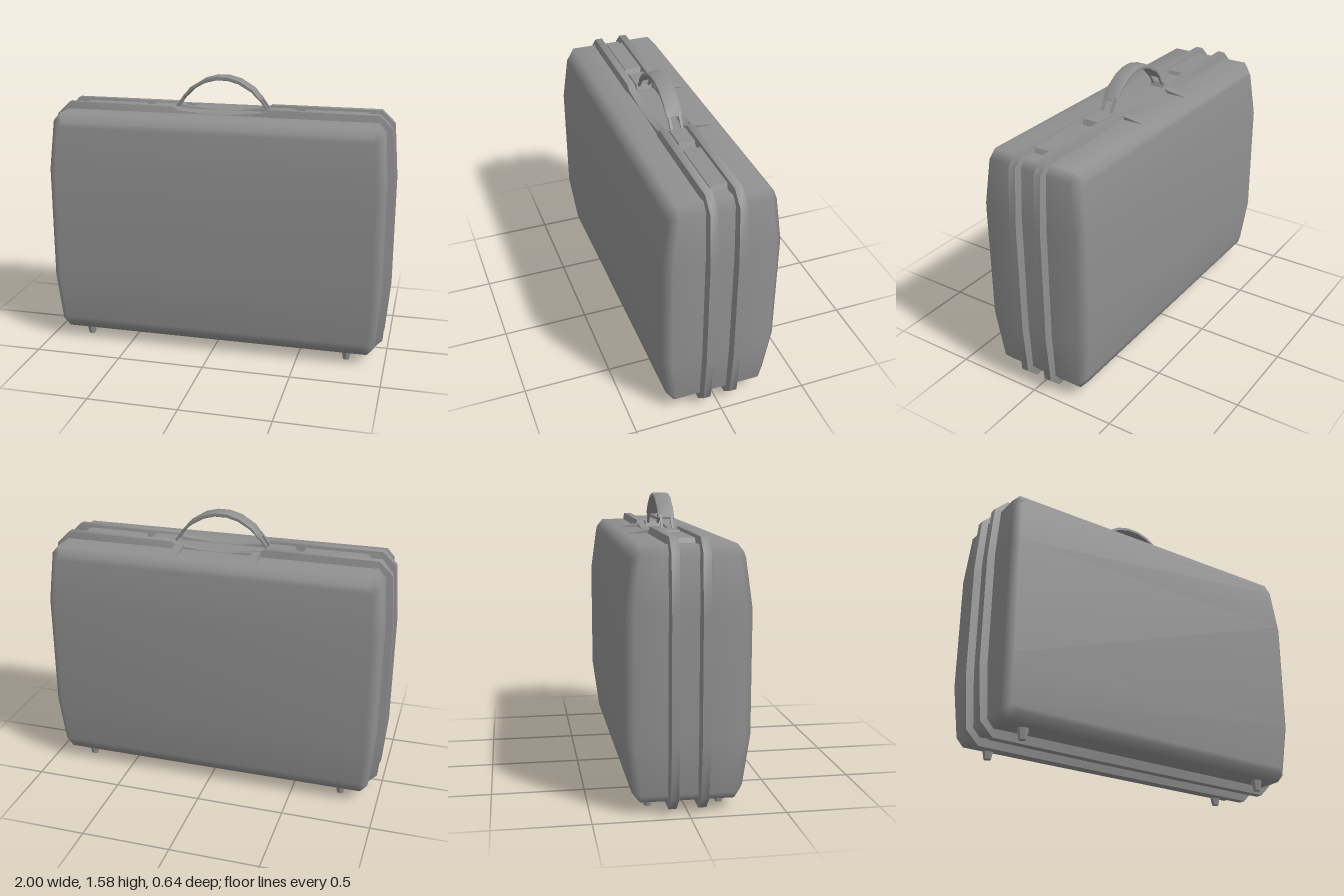
import * as THREE from 'three';
import { toCreasedNormals } from 'three/addons/utils/BufferGeometryUtils.js';

// Right half of an outline (top to bottom) mirrored into a full clockwise ring.
const ring = (half, zOf) => [...half, ...half.map(([x, y]) => [-x, y]).reverse()]
  .map(([x, y]) => [x, y, zOf(y)]);

// Skin a list of rings ordered front to back; caps join mirrored points row by row.
function loft(rings, caps) {
  const n = rings[0].length, idx = [];
  for (let k = 0; k < rings.length - 1; k++) {
    for (let i = 0; i < n; i++) {
      const a = k * n + i, b = k * n + (i + 1) % n;
      idx.push(a, b, a + n, b, b + n, a + n);
    }
  }
  if (caps) {
    const last = (rings.length - 1) * n;
    for (let i = 0; i < n / 2 - 1; i++) {
      const a = i, b = n - 1 - i, c = n - 2 - i, d = i + 1;
      idx.push(a, b, c, a, c, d);
      idx.push(last + a, last + c, last + b, last + a, last + d, last + c);
    }
  }
  const g = new THREE.BufferGeometry();
  g.setAttribute('position', new THREE.Float32BufferAttribute(rings.flat(2), 3));
  g.setIndex(idx);
  g.computeVertexNormals();
  return g;
}

export function createModel() {
  const model = new THREE.Group();
  model.name = 'suitcase';
  const grey = new THREE.MeshStandardMaterial({ color: 0x909090 });
  grey.name = 'grey plastic';
  const add = (name, geo, x = 0, y = 0, z = 0) => {
    const m = new THREE.Mesh(geo, grey);
    m.name = name;
    m.position.set(x, y, z);
    model.add(m);
    return m;
  };

  // Shell: bulging faces with bevelled edges
  const edge = [[0.9, 1.375], [0.94, 1.33], [0.96, 1.05], [0.96, 0.4], [0.94, 0.105], [0.9, 0.06]];
  const face = [[0.875, 1.33], [0.9, 1.3], [0.915, 1.05], [0.915, 0.4], [0.9, 0.135], [0.875, 0.105]];
  const bulge = y => 0.322 - 0.037 * Math.min(1, Math.max(0, (Math.abs(y - 0.725) - 0.325) / 0.28));
  add('shell', loft([
    ring(face, y => bulge(y)),
    ring(edge, y => bulge(y) - 0.04),
    ring(edge, () => 0.1),
    ring(edge, () => -0.1),
    ring(edge, y => 0.04 - bulge(y)),
    ring(face, y => -bulge(y)),
  ], true));

  // Twin rims around the opening, dipping beneath the handle
  const rim = [[0.06, 1.377], [0.24, 1.392], [0.27, 1.413], [0.9, 1.413], [0.975, 1.34], [1, 1.03],
    [1, 0.38], [0.975, 0.09], [0.9, 0.015], [0.27, 0.012]];
  const base = rim.map(([x, y]) => [x * 0.95, 0.7175 + (y - 0.7175) * 0.93]);
  for (const s of [1, -1]) {
    const z = s * 0.078;
    add(s > 0 ? 'frontRim' : 'backRim', toCreasedNormals(loft([
      ring(base, () => z + 0.034),
      ring(rim, () => z + 0.021),
      ring(rim, () => z - 0.021),
      ring(base, () => z - 0.034),
    ], false), 0.8));
  }

  // Latches and handle mounts: flat plates with chamfered ends
  const plate = (w, h, d) => {
    const s = new THREE.Shape([[-w / 2, 0], [w / 2, 0], [w / 2 - 0.015, h], [-w / 2 + 0.015, h]]
      .map(p => new THREE.Vector2(...p)));
    return new THREE.ExtrudeGeometry(s, { depth: d, bevelEnabled: false }).translate(0, 0, -d / 2);
  };
  // Low fillet behind the back rim, beside the grip
  const fillet = new THREE.ExtrudeGeometry(
    new THREE.Shape([[0.09, 1.37], [0.23, 1.374], [0.09, 1.396]].map(p => new THREE.Vector2(...p))),
    { depth: 0.05, bevelEnabled: false }).rotateY(Math.PI / 2);

  for (const s of [1, -1]) {
    const side = s > 0 ? 'left' : 'right';
    add(side + 'Latch', plate(0.38, 0.03, 0.096), s * 0.65, 1.37, -0.003);
    add(side + 'HandleMount', plate(0.17, 0.034, 0.09), s * 0.34, 1.37, 0);
    add(side + 'Fillet', fillet, s * 0.225 - 0.025, 0, 0);

    // Paired rods linking the grip to its mounts
    for (const z of [0.03, -0.03]) {
      const rod = add(side + 'HandleRod', new THREE.BoxGeometry(0.012, 0.1, 0.014), s * 0.243, 1.432, z);
      rod.rotation.z = s * 0.62;
    }
    // Tapered feet
    for (const z of [0.19, -0.19]) {
      add(side + 'Foot', toCreasedNormals(new THREE.CylinderGeometry(0.034, 0.02, 0.075, 6), 0.6),
        s * 0.78, 0.0375, z);
    }
  }

  // Arched grip
  const arc = [[0.23, 1.458], [0.185, 1.515], [0.105, 1.565], [0.035, 1.584]];
  const inner = [[0.22, 1.452], [0.172, 1.5], [0.097, 1.543], [0.033, 1.56]];
  const mirror = a => a.map(([x, y]) => [-x, y]).reverse();
  const outline = [...arc, ...mirror(arc), ...mirror(mirror(inner)).reverse().map(([x, y]) => [-x, y]).reverse()
    .map(([x, y]) => [x, y])].slice(0, 8).concat(mirror(inner).reverse(), inner.slice().reverse());
  const grip = new THREE.ExtrudeGeometry(new THREE.Shape(outline.map(p => new THREE.Vector2(...p))),
    { depth: 0.076, bevelEnabled: true, bevelThickness: 0.007, bevelSize: 0.004, bevelOffset: -0.004, bevelSegments: 1 });
  add('grip', toCreasedNormals(grip.translate(0, 0, -0.038), 0.7));

  return model;
}
